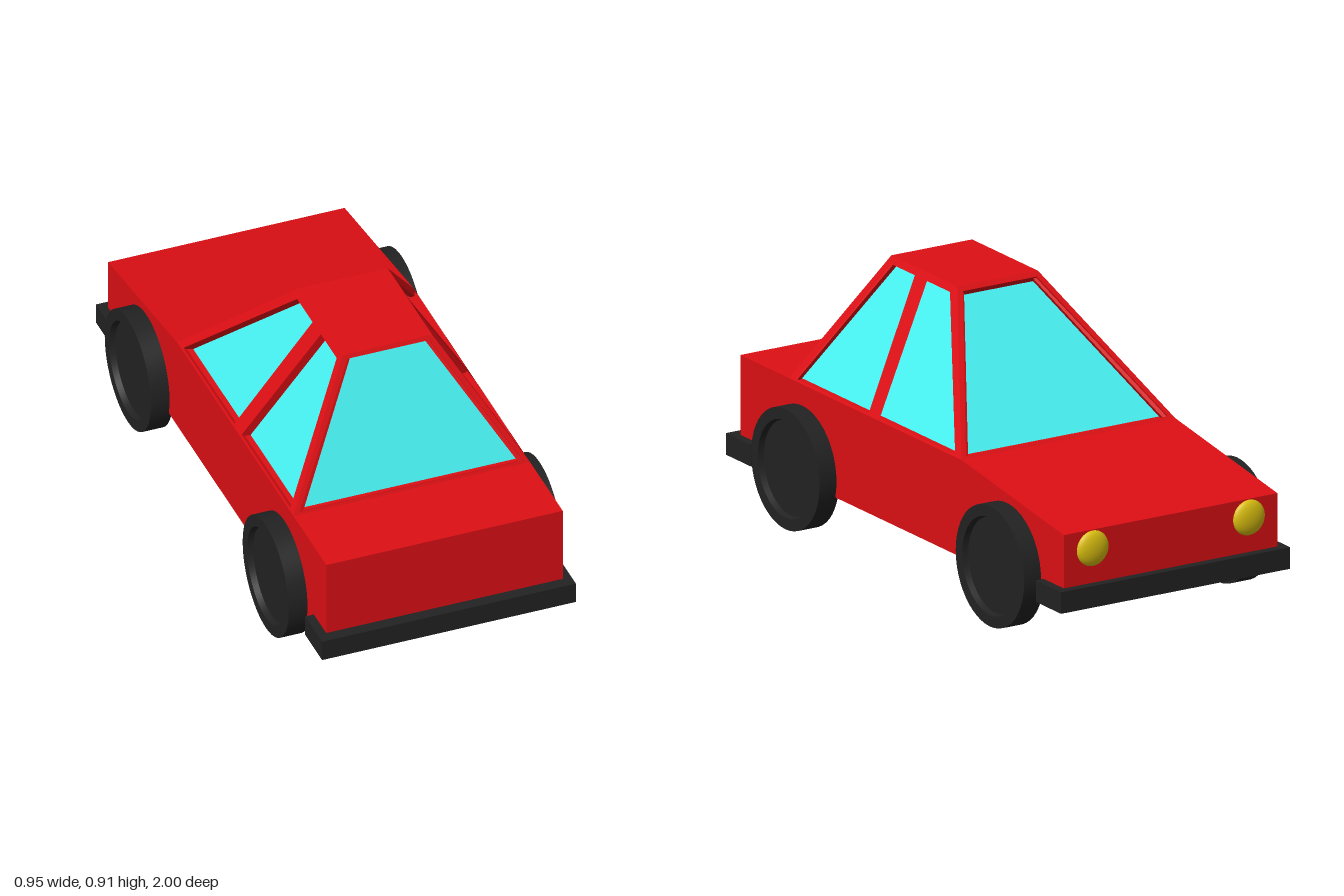
import * as THREE from 'three';
import { toCreasedNormals } from 'three/addons/utils/BufferGeometryUtils.js';

const paint = new THREE.MeshStandardMaterial({ color: 0xdd0f14 });
const glass = new THREE.MeshStandardMaterial({ color: 0x48f2f2 });
const rubber = new THREE.MeshStandardMaterial({ color: 0x222222 });
const lamp = new THREE.MeshStandardMaterial({ color: 0xdcc010 });

const BELT = 0.48, ROOF = 0.91; // heights of the cabin's foot and top
const HALF = 0.41, ROOF_HALF = 0.155;
const FRONT = -0.36, ROOF_FRONT = 0.062, BACK = 0.67, ROOF_BACK = 0.455;
const RECESS = 0.03; // depth of the windows

const toShape = (pts) => new THREE.Shape(pts.map(([x, y]) => new THREE.Vector2(x, y)));

function add(parent, name, geometry, material, x = 0, y = 0, z = 0) {
  const mesh = new THREE.Mesh(geometry, material);
  mesh.name = name;
  mesh.position.set(x, y, z);
  parent.add(mesh);
  return mesh;
}

// One leaning cabin wall: a frame with openings and a recessed pane.
// Points are (sideways, height); the wall leans from foot to top.
function cabinWall(name, outline, openings, foot, top, angle) {
  const wall = new THREE.Group();
  wall.name = name;
  const lean = (foot - top) / (ROOF - BELT);
  const len = Math.hypot(1, lean);
  const ny = lean / len, nz = 1 / len;
  const tilt = new THREE.Matrix4().set(
    1, 0, 0, 0,
    0, 1, ny, 0,
    0, -lean, nz, foot + lean * BELT,
    0, 0, 0, 1);
  const place = (geometry) => {
    const g = geometry.translate(0, 0, -RECESS).applyMatrix4(tilt).toNonIndexed();
    g.computeVertexNormals();
    return g;
  };
  const frame = toShape(outline);
  frame.holes = openings.map(toShape);
  add(wall, name + 'Frame', place(new THREE.ExtrudeGeometry(frame, { depth: RECESS, bevelEnabled: false })), paint);
  const pane = add(wall, name + 'Glass', place(new THREE.ShapeGeometry(toShape(outline))), glass);
  pane.material = glass;
  wall.rotation.y = angle;
  return wall;
}

export function createModel() {
  const car = new THREE.Group();
  car.name = 'car';

  // Lower body with sloping bonnet
  const profile = toShape([[0.96, 0.15], [0.96, BELT], [FRONT, BELT], [-0.97, 0.39], [-0.97, 0.15]]);
  const body = new THREE.ExtrudeGeometry(profile, { depth: 2 * HALF, bevelEnabled: false });
  body.translate(0, 0, -HALF).rotateY(-Math.PI / 2);
  add(car, 'body', body, paint);

  // Cabin: windscreen, rear window, two sides and roof
  const cabin = new THREE.Group();
  cabin.name = 'cabin';
  car.add(cabin);
  const endOutline = [[-HALF, BELT], [HALF, BELT], [ROOF_HALF, ROOF], [-ROOF_HALF, ROOF]];
  const endOpening = [[-0.388, 0.488], [0.388, 0.488], [0.142, 0.896], [-0.142, 0.896]];
  cabin.add(cabinWall('rearWindow', endOutline, [endOpening], BACK, ROOF_BACK, 0));
  cabin.add(cabinWall('windscreen', endOutline, [endOpening], -FRONT, -ROOF_FRONT, Math.PI));

  const sideOutline = [[FRONT, BELT], [BACK, BELT], [ROOF_BACK, ROOF], [ROOF_FRONT, ROOF]];
  const sideOpenings = [
    [[0.20, 0.487], [0.632, 0.487], [0.435, 0.888], [0.295, 0.888]],
    [[-0.315, 0.487], [0.135, 0.487], [0.222, 0.888], [0.085, 0.888]],
  ];
  const flip = (pts) => pts.map(([z, y]) => [-z, y]);
  cabin.add(cabinWall('rightSide', sideOutline, sideOpenings, HALF, ROOF_HALF, -Math.PI / 2));
  cabin.add(cabinWall('leftSide', flip(sideOutline), sideOpenings.map(flip), HALF, ROOF_HALF, Math.PI / 2));

  const roofLength = ROOF_BACK - ROOF_FRONT;
  add(cabin, 'roof', new THREE.BoxGeometry(2 * ROOF_HALF, 0.012, roofLength), paint,
    0, ROOF - 0.006, ROOF_FRONT + roofLength / 2);

  // Bumpers
  const bumper = new THREE.BoxGeometry(0.88, 0.073, 0.15);
  add(car, 'frontBumper', bumper, rubber, 0, 0.173, -0.925);
  add(car, 'rearBumper', bumper, rubber, 0, 0.173, 0.925);

  // Wheels with a dished outer face
  const tyre = [[0, 0], [0.204, 0], [0.204, 0.075], [0.165, 0.075], [0.16, 0.055], [0, 0.055]];
  const wheel = toCreasedNormals(
    new THREE.LatheGeometry(tyre.map(([r, h]) => new THREE.Vector2(r, h)), 48), 0.5);
  const light = new THREE.SphereGeometry(0.06, 32, 20).scale(1, 1, 0.4);
  for (const side of [1, -1]) {
    const label = side > 0 ? 'left' : 'right';
    for (const [end, z] of [['Front', -0.63], ['Rear', 0.59]]) {
      const mesh = add(car, label + end + 'Wheel', wheel, rubber, side * 0.4, 0.204, z);
      mesh.rotation.z = -side * Math.PI / 2;
    }
    // Headlights
    add(car, label + 'Headlight', light, lamp, side * 0.3, 0.327, -0.97);
  }
  return car;
}
